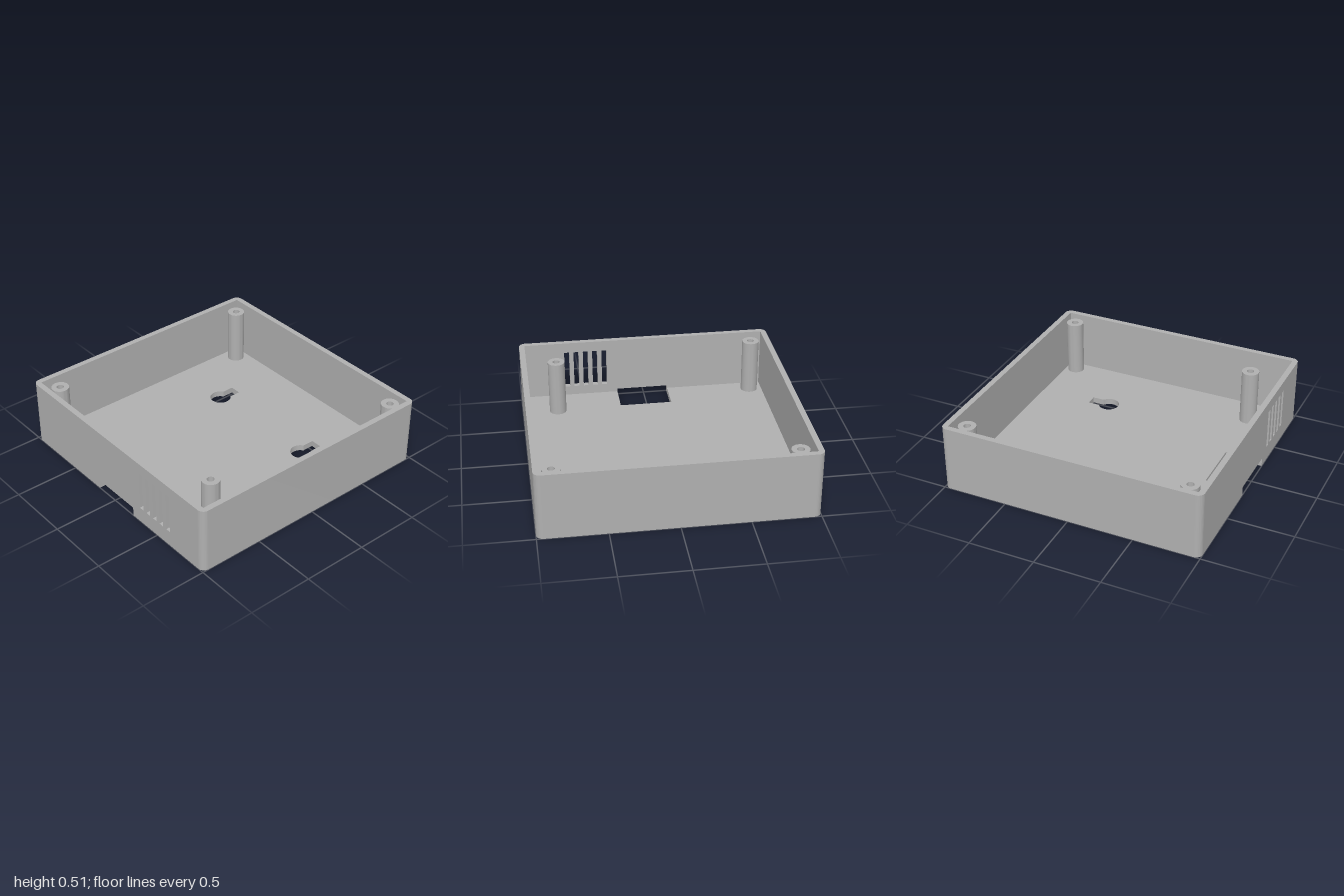
import * as THREE from 'three';
import { toCreasedNormals } from 'three/addons/utils/BufferGeometryUtils.js';

const HEIGHT = 0.51, FLOOR = 0.047, INNER = 0.957, R = 0.05;
const NOTCH = { left: -0.19, right: 0.22, top: 0.07, back: 0.715 };

const polygon = (points) => new THREE.Shape(points.map(([x, y]) => new THREE.Vector2(x, y)));

function extrude(shape, depth) {
  const geometry = new THREE.ExtrudeGeometry(shape, { depth, bevelEnabled: false, curveSegments: 24 });
  return toCreasedNormals(geometry, 0.5);
}

// Plan shapes are drawn with y = -z and extruded upwards
const extrudeUp = (shape, depth) => extrude(shape, depth).rotateX(-Math.PI / 2);

// Round hanging hole with a narrow neck towards the back
function keyhole(x) {
  const r = 0.08, half = 0.043, y = 0.38, a = Math.acos(half / r);
  const path = new THREE.Path();
  path.moveTo(x - half, 0.537);
  path.lineTo(x - half, y + r * Math.sin(a));
  path.absarc(x, y, r, Math.PI - a, Math.PI * 2 + a, false);
  path.lineTo(x + half, 0.537);
  path.closePath();
  return path;
}

export function createModel() {
  const model = new THREE.Group();
  model.name = 'openEnclosure';
  const grey = new THREE.MeshStandardMaterial({ color: 0xb0b0b0 });
  grey.name = 'grey plastic';

  const add = (name, geometry, x = 0, y = 0, z = 0) => {
    const mesh = new THREE.Mesh(geometry, grey);
    mesh.name = name;
    mesh.position.set(x, y, z);
    model.add(mesh);
  };

  // Floor with two keyholes and a cable opening at the front
  const floor = polygon([
    [-INNER, INNER], [-INNER, -INNER],
    [NOTCH.left, -INNER], [NOTCH.left, -NOTCH.back],
    [NOTCH.right, -NOTCH.back], [NOTCH.right, -INNER],
    [INNER, -INNER], [INNER, INNER],
  ]);
  floor.holes.push(keyhole(-0.475), keyhole(0.47));
  add('floor', extrudeUp(floor, FLOOR));

  // Side and back walls with rounded outer corners
  const e = 1 - R;
  const walls = new THREE.Shape();
  walls.moveTo(e, -1);
  walls.absarc(e, -e, R, -Math.PI / 2, 0, false);
  walls.absarc(e, e, R, 0, Math.PI / 2, false);
  walls.absarc(-e, e, R, Math.PI / 2, Math.PI, false);
  walls.absarc(-e, -e, R, Math.PI, Math.PI * 1.5, false);
  walls.lineTo(-e, -INNER);
  walls.lineTo(-INNER, -INNER);
  walls.lineTo(-INNER, INNER);
  walls.lineTo(INNER, INNER);
  walls.lineTo(INNER, -INNER);
  walls.lineTo(e, -INNER);
  walls.closePath();
  add('sideAndBackWalls', extrudeUp(walls, HEIGHT));

  // Front wall with a cable notch and five vent slots
  const front = polygon([
    [-e, 0], [NOTCH.left, 0], [NOTCH.left, NOTCH.top], [NOTCH.right, NOTCH.top],
    [NOTCH.right, 0], [e, 0], [e, HEIGHT], [-e, HEIGHT],
  ]);
  for (let i = 0; i < 5; i++) {
    const x = 0.303 + i * 0.075, w = 0.041;
    front.holes.push(polygon([[x, 0.122], [x, 0.427], [x + w, 0.427], [x + w, 0.122]]));
  }
  add('frontWall', extrude(front, 1 - INNER), 0, 0, INNER);

  // Hollow screw posts
  const ring = new THREE.Shape().absarc(0, 0, 0.066, 0, Math.PI * 2, false);
  ring.holes.push(new THREE.Path().absarc(0, 0, 0.027, 0, Math.PI * 2, true));
  const post = extrudeUp(ring, 0.48 - FLOOR);
  [[-0.856, -0.863], [0.872, -0.874], [-0.856, 0.858], [0.724, 0.703]].forEach(([x, z], i) =>
    add(`screwPost${i + 1}`, post, x, FLOOR, z));

  return model;
}
